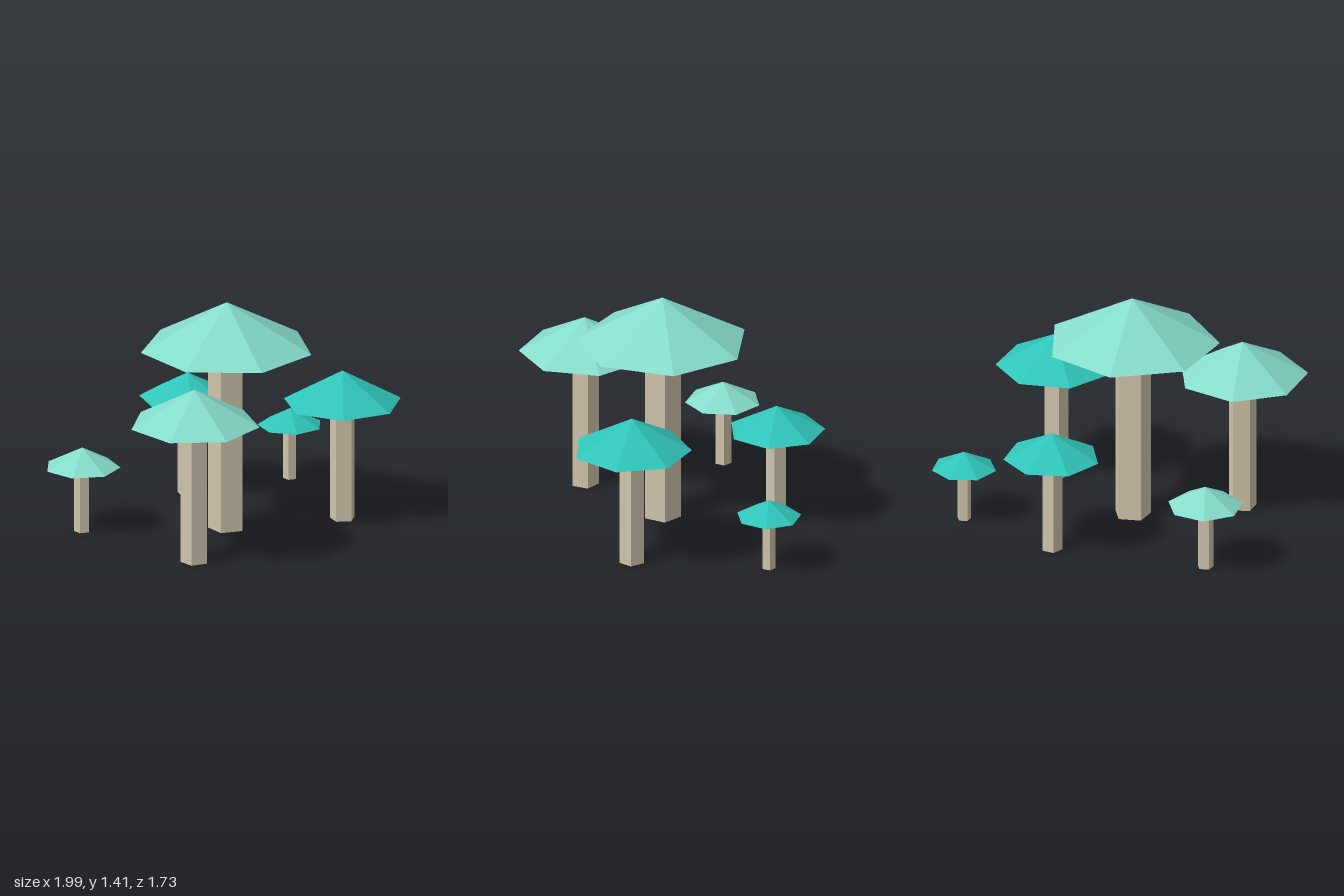
import * as THREE from 'three';

const material = (name, color) =>
  new THREE.MeshStandardMaterial({ name, color, flatShading: true });

// Turns a ring whose first corner lies on +z so that it lies at `deg`, measured from +x towards +z
const turn = (deg) => Math.PI / 2 - THREE.MathUtils.degToRad(deg);

export function createModel() {
  const mint = material('mint', 0x85dccb);
  const teal = material('teal', 0x30c4b9);
  const beige = material('beige', 0xd0c4ab);

  const mushrooms = [
    { name: 'tallMushroom', color: mint, x: -0.05, z: 0.08, rim: 1.125, tip: 1.41, cap: 0.52, capTurn: 0, stem: 0.113, stemTurn: 0 },
    { name: 'leftFrontMushroom', color: mint, x: -0.58, z: 0.477, rim: 0.86, tip: 1.075, cap: 0.391, capTurn: -5.7, stem: 0.085, stemTurn: -5.7 },
    { name: 'rightFrontMushroom', color: teal, x: 0.605, z: 0.348, rim: 0.727, tip: 0.925, cap: 0.356, capTurn: 22.7, stem: 0.077, stemTurn: 11.5 },
    { name: 'backMushroom', color: teal, x: 0.145, z: -0.578, rim: 0.6, tip: 0.755, cap: 0.29, capTurn: 17, stem: 0.063, stemTurn: 18 },
    { name: 'smallRightMushroom', color: teal, x: 0.803, z: -0.445, rim: 0.333, tip: 0.437, cap: 0.195, capTurn: 12, stem: 0.042, stemTurn: -3 },
    { name: 'smallLeftMushroom', color: mint, x: -0.778, z: -0.378, rim: 0.4, tip: 0.522, cap: 0.227, capTurn: -12.5, stem: 0.05, stemTurn: 0 },
  ];

  const model = new THREE.Group();
  model.name = 'mushroomCluster';

  for (const m of mushrooms) {
    const group = new THREE.Group();
    group.name = m.name;
    group.position.set(m.x, 0, m.z);

    // Five-sided straight stem, reaching up into the cap
    const stem = new THREE.Mesh(new THREE.CylinderGeometry(m.stem, m.stem, m.rim, 5), beige);
    stem.name = 'stem';
    stem.position.y = m.rim / 2;
    stem.rotation.y = turn(m.stemTurn);

    // Seven-sided cap: shallow cone below the rim, steeper cone above
    const profile = [
      new THREE.Vector2(0, m.rim - 0.12 * m.cap),
      new THREE.Vector2(m.cap, m.rim),
      new THREE.Vector2(0, m.tip),
    ];
    const cap = new THREE.Mesh(new THREE.LatheGeometry(profile, 7), m.color);
    cap.name = 'cap';
    cap.rotation.y = turn(m.capTurn);

    group.add(stem, cap);
    model.add(group);
  }
  return model;
}
